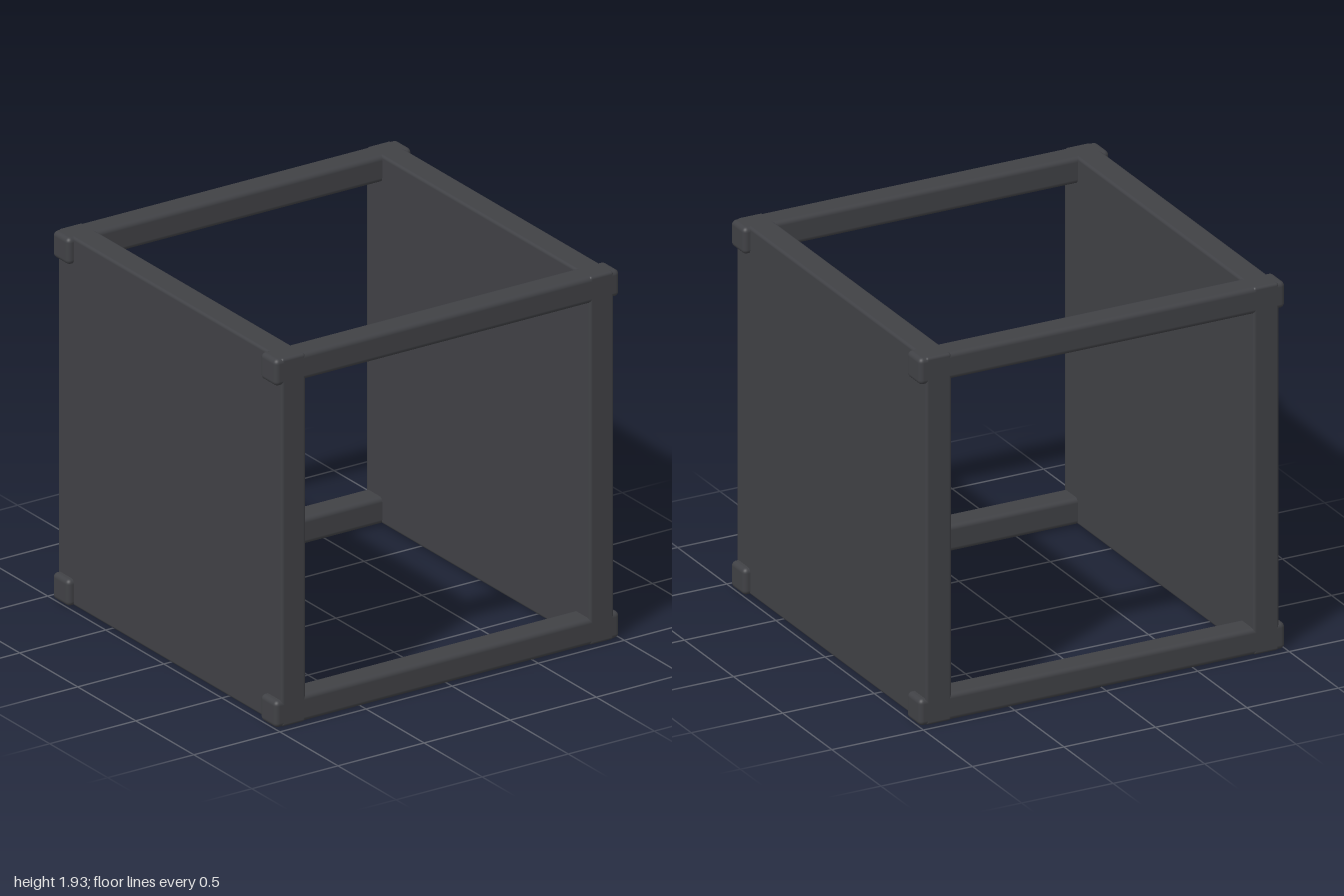
import * as THREE from 'three';
import { RoundedBoxGeometry } from 'three/addons/geometries/RoundedBoxGeometry.js';

const SIZE = 1.93; // height and depth of the frame
const BAR = 0.14; // thickness of panels and beams

export function createModel() {
  const model = new THREE.Group();
  model.name = 'openCubeFrame';
  const material = new THREE.MeshStandardMaterial({ color: 0x404145 });

  function add(name, geometry, x, y, z) {
    const mesh = new THREE.Mesh(geometry, material);
    mesh.name = name;
    mesh.position.set(x, y, z);
    model.add(mesh);
  }

  const panel = new RoundedBoxGeometry(BAR, SIZE, SIZE, 3, 0.015);
  const beam = new RoundedBoxGeometry(2, BAR, BAR, 3, 0.025);
  const offset = (SIZE - BAR) / 2;

  // Solid side panels
  for (const side of [-1, 1]) {
    add(side > 0 ? 'leftPanel' : 'rightPanel', panel, side * 0.895, SIZE / 2, 0);
  }

  // Four cross beams whose ends poke out through the panels
  for (const v of [-1, 1]) {
    for (const d of [-1, 1]) {
      const name = (v > 0 ? 'top' : 'bottom') + (d > 0 ? 'Front' : 'Back') + 'Beam';
      add(name, beam, 0, SIZE / 2 + v * offset, d * offset);
    }
  }

  return model;
}
